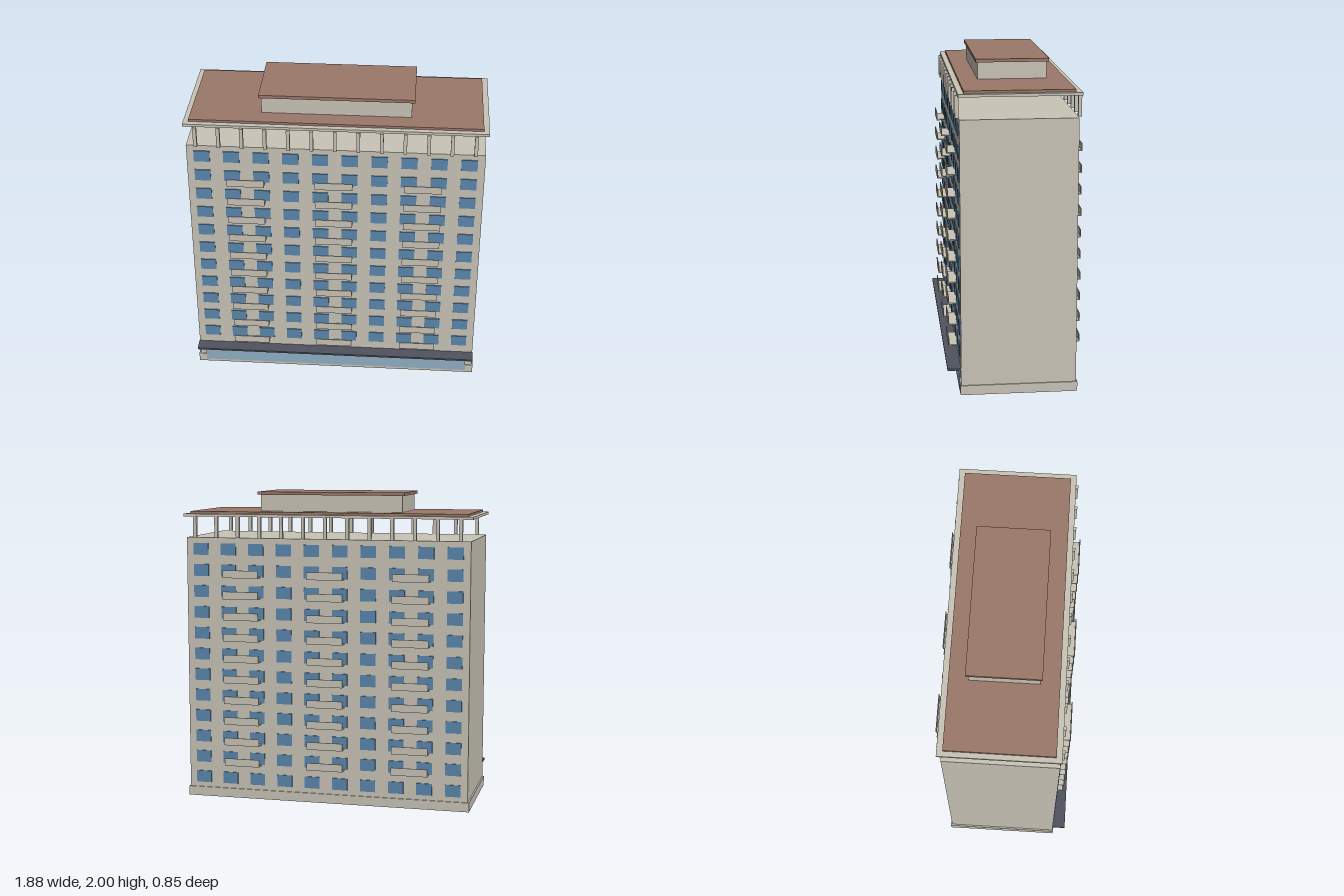
import * as THREE from 'three';

const material = (name, color) => {
  const m = new THREE.MeshStandardMaterial({ color });
  m.name = name;
  return m;
};

export function createModel() {
  const model = new THREE.Group();
  model.name = 'apartmentBlock';

  const wall = material('stone', 0xc9c4b7);
  const glass = material('windowBlue', 0x5a87ae);
  const shopGlass = material('shopGlass', 0x90aec4);
  const roof = material('roofBrown', 0x9b7869);
  const dark = material('canopyGrey', 0x50545e);

  // Box given by its limits on each axis
  const box = (name, mat, [x0, x1], [y0, y1], [z0, z1], parent = model) => {
    const mesh = new THREE.Mesh(new THREE.BoxGeometry(x1 - x0, y1 - y0, z1 - z0), mat);
    mesh.position.set((x0 + x1) / 2, (y0 + y1) / 2, (z0 + z1) / 2);
    mesh.name = name;
    parent.add(mesh);
    return mesh;
  };

  const FRONT = 0.345, BACK = -0.363;

  // Main volume and plinth
  box('plinth', wall, [-0.935, 0.93], [0, 0.06], [-0.371, 0.35]);
  box('body', wall, [-0.925, 0.922], [0.06, 1.708], [BACK, FRONT]);

  // Shop front and canopy
  box('shopWindow', shopGlass, [-0.885, 0.88], [0.02, 0.16], [FRONT, 0.354]);
  box('canopy', dark, [-0.928, 0.923], [0.158, 0.17], [FRONT, 0.428]);

  // Roof slab, roofing and penthouse
  box('roofSlab', wall, [-0.938, 0.937], [1.843, 1.86], [-0.382, 0.353]);
  box('roofing', roof, [-0.905, 0.902], [1.86, 1.875], [-0.346, 0.318]);
  box('penthouse', wall, [-0.466, 0.462], [1.875, 1.98], [-0.226, 0.2]);
  box('penthouseRoof', roof, [-0.482, 0.48], [1.98, 2], [-0.241, 0.212]);

  // Windows, balconies and roof columns, for both long sides
  const floorStep = 0.1367;
  for (const side of [1, -1]) {
    const facade = new THREE.Group();
    facade.name = side > 0 ? 'frontFacade' : 'backFacade';
    model.add(facade);
    const face = side > 0 ? FRONT : BACK;
    // Depth range measured outward from the wall
    const out = (a, b) => (side > 0 ? [face + a, face + b] : [face - b, face - a]);

    // The back has one more row of windows, at ground level
    for (let row = side > 0 ? 0 : -1; row < 11; row++) {
      const y = 0.267 + row * floorStep;
      for (let col = 0; col < 10; col++) {
        const x = -0.83 + col * 0.184;
        box('window', glass, [x - 0.05, x + 0.05], [y - 0.038, y + 0.038], out(0, 0.006), facade);
      }
    }

    // Balconies: floor and parapet, open at the ends
    for (let row = 0; row < 10; row++) {
      const y = 0.224 + row * floorStep;
      for (const x of [-0.558, -0.007, 0.547]) {
        const span = [x - 0.117, x + 0.117];
        box('balconyFloor', wall, span, [y, y + 0.007], out(0, 0.06), facade);
        box('balconyParapet', wall, span, [y, y + 0.049], out(0.055, 0.061), facade);
      }
    }

    // Columns carrying the roof slab
    for (let i = 0; i < 13; i++) {
      const x = -0.863 + i * 0.1436;
      box('roofColumn', wall, [x - 0.011, x + 0.011], [1.708, 1.845], out(0, 0.022), facade);
    }
  }

  return model;
}
